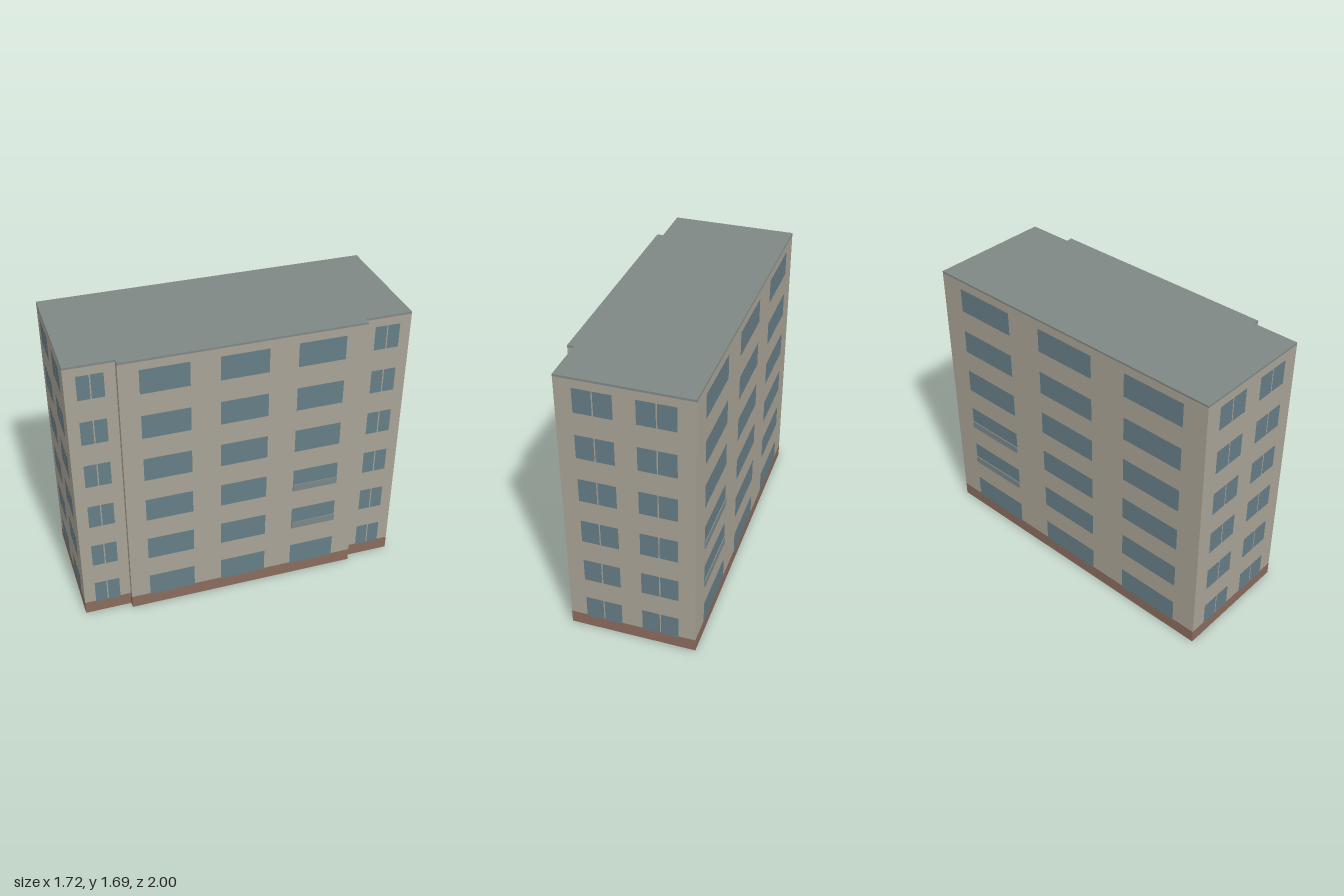
import * as THREE from 'three';

const HALF_L = 0.963, HALF_W = 0.3705;   // main block, half length and half width
const BAY = 0.69, BAY_Z = 0.407;         // projecting middle bay
const HEIGHT = 1.685, PLINTH = 0.08, ROOF = 0.012;
const FLOORS = 6, PITCH = 0.281, SILL = 0.074, WIN_H = 0.146;

const mat = (color) => new THREE.MeshStandardMaterial({ color });

export function createModel() {
  const model = new THREE.Group();
  model.name = 'apartmentBlock';
  const building = new THREE.Group();
  building.name = 'building';
  building.rotation.y = Math.atan2(0.813, 0.582);
  model.add(building);

  const wallMat = mat(0xa8a396), plinthMat = mat(0x8a6a5c), roofMat = mat(0x7f8886);
  const glassMat = mat(0x667d85), panelMat = mat(0x7b8787);

  // Footprint with the shallow projecting bay on the +z side
  const footprint = new THREE.Shape([
    [-HALF_L, -HALF_W], [-BAY, -HALF_W], [-BAY, -BAY_Z], [BAY, -BAY_Z],
    [BAY, -HALF_W], [HALF_L, -HALF_W], [HALF_L, HALF_W], [-HALF_L, HALF_W],
  ].map(([x, y]) => new THREE.Vector2(x, y)));

  const slab = (name, y0, y1, material) => {
    const geo = new THREE.ExtrudeGeometry(footprint, { depth: y1 - y0, bevelEnabled: false });
    geo.rotateX(-Math.PI / 2);
    const mesh = new THREE.Mesh(geo, material);
    mesh.name = name;
    mesh.position.y = y0;
    building.add(mesh);
  };
  slab('plinth', 0, PLINTH, plinthMat);
  slab('walls', PLINTH, HEIGHT - ROOF, wallMat);
  slab('roof', HEIGHT - ROOF, HEIGHT, roofMat);
  // Underside of the floor slab
  const floor = new THREE.Mesh(new THREE.ShapeGeometry(footprint), wallMat);
  floor.name = 'underside';
  floor.geometry.rotateX(-Math.PI / 2);
  floor.geometry.scale(1, 1, 1);
  floor.material = wallMat.clone();
  floor.material.side = THREE.DoubleSide;
  floor.position.y = -0.001;
  building.add(floor);

  // A facade is a group whose local +z points out of the wall
  const facade = (name, x, z, angle) => {
    const g = new THREE.Group();
    g.name = name;
    g.position.set(x, 0, z);
    g.rotation.y = angle;
    building.add(g);
    return g;
  };

  // One window per floor, in one or two panes
  const windowColumn = (parent, x, width, panes) => {
    const gap = 0.007;
    const paneW = (width - gap * (panes - 1)) / panes;
    const geo = new THREE.PlaneGeometry(paneW, WIN_H);
    for (let f = 0; f < FLOORS; f++) {
      for (let p = 0; p < panes; p++) {
        const pane = new THREE.Mesh(geo, glassMat);
        pane.name = 'windowPane';
        pane.position.set(x + (p - (panes - 1) / 2) * (paneW + gap), SILL + WIN_H / 2 + f * PITCH, 0.002);
        parent.add(pane);
      }
    }
  };

  // Balcony panels across the lower part of two windows
  const balconyPanels = (parent, x, width) => {
    for (const f of [1, 2]) {
      const panel = new THREE.Mesh(new THREE.BoxGeometry(width, 0.043, 0.008), panelMat);
      panel.name = 'balconyPanel';
      panel.position.set(x, SILL + 0.0215 + f * PITCH, 0.004);
      parent.add(panel);
    }
  };

  // Short end walls
  for (const s of [-1, 1]) {
    const end = facade('endFacade', s * HALF_L, 0, s * Math.PI / 2);
    for (const x of [-0.167, 0.167]) windowColumn(end, x, 0.213, 2);
  }

  // Street side: narrow bays at both ends, wide windows in the projecting bay
  const side = facade('sideBays', 0, HALF_W, 0);
  for (const x of [-0.825, 0.825]) windowColumn(side, x, 0.146, 2);
  const bay = facade('middleBay', 0, BAY_Z, 0);
  for (const x of [-0.442, -0.004, 0.434]) windowColumn(bay, x, 0.273, 1);
  balconyPanels(bay, 0.434, 0.273);

  // Rear side
  const rear = facade('rearFacade', 0, -HALF_W, Math.PI);
  for (const x of [-0.62, 0, 0.62]) windowColumn(rear, x, 0.39, 1);
  balconyPanels(rear, -0.62, 0.39);

  return model;
}
